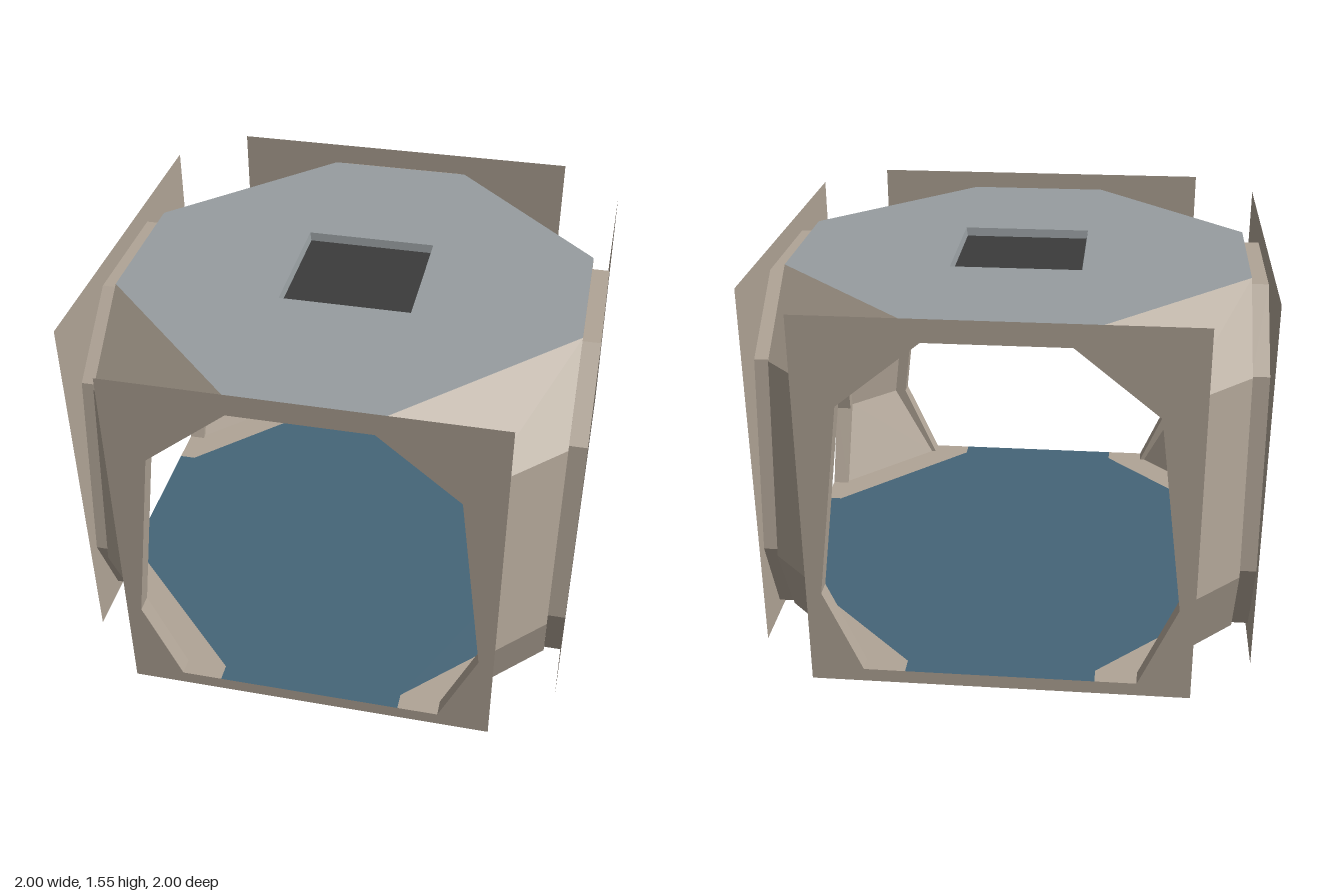
import * as THREE from 'three';

const mat = (name, color) => {
  const m = new THREE.MeshStandardMaterial({ color, side: THREE.DoubleSide });
  m.name = name;
  return m;
};

// half outlines (x, y), from the sill up to the top
const OPENING = [[0.54, 0.055], [0.69, 0.4], [0.59, 1.2], [0.27, 1.46]];
const ROOM = [[0.56, 0.055], [0.74, 0.4], [0.64, 1.215], [0.30, 1.495]];
const FLOOR = 0.055, ROOF = 1.495, INNER = 0.93, CUT = 0.375, HATCH = 0.265;

const mirrorPath = (half) => [...half, ...half.map(([x, y]) => [-x, y]).reverse()];
const toShape = (pts) => new THREE.Shape(pts.map(([x, y]) => new THREE.Vector2(x, y)));
const flat = (pts, hole) => {
  const s = toShape(pts);
  if (hole) s.holes.push(toShape(hole));
  return new THREE.ShapeGeometry(s);
};
const level = (pts, y, hole) => flat(pts, hole).rotateX(-Math.PI / 2).translate(0, y, 0);

// flat-faced band of quads between two 3D paths
function ribbon(a, b) {
  const v = [];
  for (let i = 0; i < a.length - 1; i++)
    v.push(...a[i], ...b[i], ...b[i + 1], ...a[i], ...b[i + 1], ...a[i + 1]);
  const g = new THREE.BufferGeometry();
  g.setAttribute('position', new THREE.Float32BufferAttribute(v, 3));
  g.computeVertexNormals();
  return g;
}

// repeat a list of points around the four quarters
function quarters(pts) {
  const out = [];
  for (let k = 0; k < 4; k++)
    for (const [x, y] of pts) {
      let p = [x, y];
      for (let j = 0; j < k; j++) p = [-p[1], p[0]];
      out.push(p);
    }
  return out;
}

export function createModel() {
  const root = new THREE.Group();
  root.name = 'pavilion';
  const beige = mat('beige panel', 0xb0a496);
  const grey = mat('grey roof', 0x979da0);
  const blue = mat('blue floor', 0x456578);
  const dark = mat('dark hatch', 0x3b3b3b);
  const add = (parent, name, geo, m) => {
    const mesh = new THREE.Mesh(geo, m);
    mesh.name = name;
    parent.add(mesh);
  };

  const opening = mirrorPath(OPENING), room = mirrorPath(ROOM);
  const h = 0.75;
  const frameGeo = flat([[-h, 0], [h, 0], [h, 1.55], [-h, 1.55]], opening).translate(0, 0, 1);
  const revealGeo = ribbon(opening.map(([x, y]) => [x, y, 1]), opening.map(([x, y]) => [x, y, INNER]));
  const wallGeo = flat([...room, ...opening.slice().reverse()]).translate(0, 0, INNER);
  const cornerGeo = ribbon(ROOM.map(([a, y]) => [a, y, INNER]), ROOM.map(([a, y]) => [INNER, y, a]));
  // floor corner between the blue floor and the foot of the corner wall
  const w = OPENING[0][0], f = ROOM[0][0];
  const patchGeo = level([
    [CUT, INNER], [INNER, CUT], [1, CUT], [1, w], [INNER, w],
    [INNER, f], [f, INNER], [w, INNER], [w, 1], [CUT, 1],
  ], FLOOR);

  // four identical sides, each with its corner
  for (let k = 0; k < 4; k++) {
    const side = new THREE.Group();
    side.name = 'side' + (k + 1);
    side.rotation.y = k * Math.PI / 2;
    add(side, 'outerFrame', frameGeo, beige);
    add(side, 'openingReveal', revealGeo, beige);
    add(side, 'innerWall', wallGeo, beige);
    add(side, 'cornerWall', cornerGeo, beige);
    add(side, 'floorCorner', patchGeo, beige);
    root.add(side);
  }

  // floor, reaching out over the sills
  add(root, 'floor', level(quarters([[1, -CUT], [1, CUT], [INNER, CUT], [CUT, INNER], [CUT, 1]].slice(0, 4)
    .concat([[CUT, 1]])), FLOOR), blue);

  // octagonal roof with a recessed square hatch
  const r = ROOM[3][0];
  const square = quarters([[HATCH, HATCH]]);
  add(root, 'roof', level(quarters([[INNER, -r], [INNER, r]]), ROOF, square), grey);
  const loop = [...square, square[0]];
  add(root, 'hatchRim', ribbon(loop.map(([x, z]) => [x, ROOF, z]),
    loop.map(([x, z]) => [x * 0.98, ROOF - 0.035, z * 0.98])), grey);
  add(root, 'hatch', level(square.map(([x, z]) => [x * 0.98, z * 0.98]), ROOF - 0.035), dark);
  return root;
}
